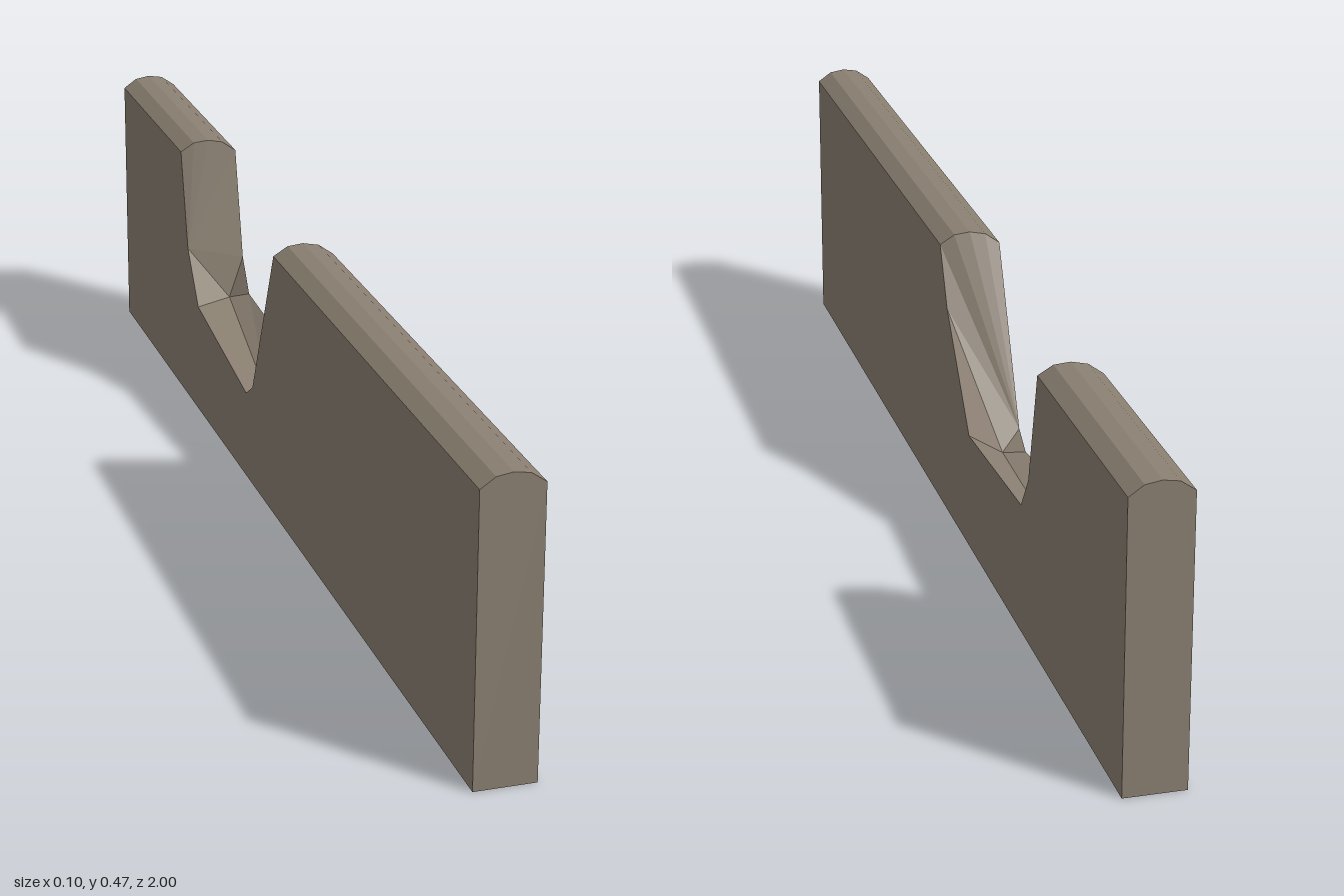
import * as THREE from 'three';

const W = 0.048, EAVE = 0.455;
// Half-round coping section, from left face (+x) to right face (-x)
const ARC = [[W, EAVE], [0.025, 0.471], [0, 0.475], [-0.025, 0.471], [-W, EAVE]];

// Broken edge on each side face, as [z, y] from front to back
const EDGE_POS = [[0.034, EAVE], [-0.011, 0.36], [-0.154, 0.194], [-0.469, 0.211], [-0.509, 0.268], [-0.554, EAVE]];
const EDGE_NEG = [[0.02, EAVE], [-0.109, 0.178], [-0.149, 0.153], [-0.463, 0.198], [-0.531, 0.286], [-0.571, EAVE]];

// Collects convex polygons as triangle fans, each turned to face 'out'
function faceBuilder() {
  const verts = [];
  const add = (out, ...pts) => {
    const o = new THREE.Vector3(...out);
    const p = pts.map((q) => new THREE.Vector3(...q));
    for (let i = 1; i < p.length - 1; i++) {
      const n = p[i].clone().sub(p[0]).cross(p[i + 1].clone().sub(p[0]));
      const tri = n.dot(o) >= 0 ? [p[0], p[i], p[i + 1]] : [p[0], p[i + 1], p[i]];
      tri.forEach((v) => verts.push(v.x, v.y, v.z));
    }
  };
  const mesh = (name, material) => {
    const g = new THREE.BufferGeometry();
    g.setAttribute('position', new THREE.Float32BufferAttribute(verts, 3));
    g.computeVertexNormals();
    const m = new THREE.Mesh(g, material);
    m.name = name;
    return m;
  };
  return { add, mesh };
}

export function createModel() {
  const group = new THREE.Group();
  group.name = 'brokenWall';
  const stone = new THREE.MeshStandardMaterial({ color: 0x8a7f71 });
  stone.name = 'stone';

  // Side faces, both ends and the base
  const body = faceBuilder();
  for (const [x, edge] of [[W, EDGE_POS], [-W, EDGE_NEG]]) {
    const line = [[1, EAVE], ...edge, [-1, EAVE]];
    for (let i = 0; i < line.length - 1; i++) {
      const [za, ya] = line[i], [zb, yb] = line[i + 1];
      body.add([x, 0, 0], [x, 0, za], [x, 0, zb], [x, yb, zb], [x, ya, za]);
    }
  }
  for (const z of [1, -1]) {
    body.add([0, 0, z], [-W, 0, z], [W, 0, z], ...ARC.map(([x, y]) => [x, y, z]));
  }
  body.add([0, -1, 0], [-W, 0, 1], [W, 0, 1], [W, 0, -1], [-W, 0, -1]);
  group.add(body.mesh('wallBody', stone));

  // Rounded coping on both standing lengths; its broken ends run slightly askew
  const endZ = (i, x) => THREE.MathUtils.lerp(EDGE_NEG[i][0], EDGE_POS[i][0], (x + W) / (2 * W));
  const brokenArc = (i) => ARC.map(([x, y]) => [x, y, endZ(i, x)]);
  for (const [name, z, i] of [['frontCoping', 1, 0], ['backCoping', -1, 5]]) {
    const cap = faceBuilder();
    const arc = brokenArc(i);
    for (let k = 0; k < ARC.length - 1; k++) {
      const [xa, ya] = ARC[k], [xb, yb] = ARC[k + 1];
      cap.add([0, 1, 0], [xa, ya, z], [xb, yb, z], arc[k + 1], arc[k]);
    }
    group.add(cap.mesh(name, stone));
  }

  // Fractured surface of the gap, around two inner corner points
  const gap = faceBuilder();
  const L = EDGE_POS.map(([z, y]) => [W, y, z]);
  const R = EDGE_NEG.map(([z, y]) => [-W, y, z]);
  const low = [-0.015, 0.147, -0.127], high = [0.02, 0.197, -0.5];
  const up = [0, 1, 0];
  gap.add([0, 0.5, -1], R[1], low, L[1], ...brokenArc(0));
  gap.add(up, low, L[1], L[2]);
  gap.add(up, low, R[1], R[2]);
  gap.add(up, low, L[2], L[3]);
  gap.add(up, low, L[3], high);
  gap.add(up, low, high, R[3], R[2]);
  gap.add(up, high, L[3], L[4]);
  gap.add(up, high, R[3], R[4]);
  gap.add([0, 0.5, 1], R[4], high, L[4], ...brokenArc(5));
  group.add(gap.mesh('brokenGap', stone));

  return group;
}
